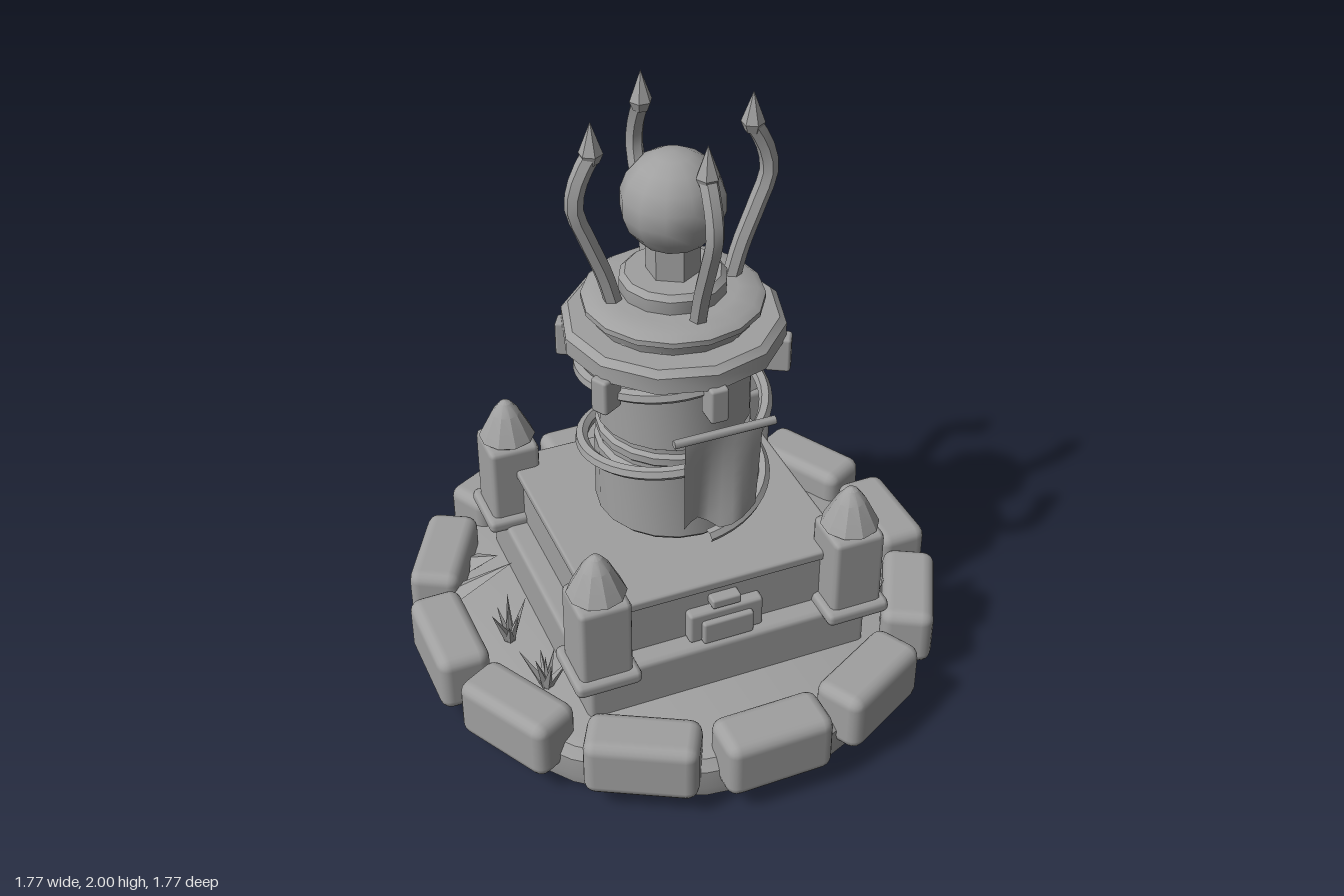
import * as THREE from 'three';
import { toCreasedNormals } from 'three/addons/utils/BufferGeometryUtils.js';
import { RoundedBoxGeometry } from 'three/addons/geometries/RoundedBoxGeometry.js';

export function createModel() {
  const model = new THREE.Group();
  const stone = new THREE.MeshStandardMaterial({ color: 0xa0a0a0 });
  stone.name = 'grey stone';
  const cloth = new THREE.MeshStandardMaterial({ color: 0xa0a0a0, side: THREE.DoubleSide });
  cloth.name = 'grey cloth';

  const add = (name, geo, x = 0, y = 0, z = 0, parent = model, mat = stone) => {
    const mesh = new THREE.Mesh(geo, mat);
    mesh.name = name;
    mesh.position.set(x, y, z);
    parent.add(mesh);
    return mesh;
  };
  const group = (name, parent = model) => {
    const g = new THREE.Group();
    g.name = name;
    parent.add(g);
    return g;
  };
  // Turned shape from [radius, y] pairs, bottom to top
  const turned = (pts, sides) => toCreasedNormals(
    new THREE.LatheGeometry(pts.map(([r, y]) => new THREE.Vector2(r, y)), sides), 0.55);
  // Box standing on y with softened edges
  const block = (w, h, d, r = 0.015) => new RoundedBoxGeometry(w, h, d, 1, r).translate(0, h / 2, 0);

  // Round base
  add('baseDisc', turned([[0, 0], [0.79, 0], [0.815, 0.02], [0.825, 0.06], [0.825, 0.13],
    [0.80, 0.165], [0.77, 0.175], [0, 0.175]], 24));

  // Ring of twelve boulders, slightly uneven
  const ring = group('stoneRing');
  const turns = [0.01, -0.03, 0.02, 0.015, -0.02, 0.03];
  for (let i = 0; i < 12; i++) {
    const a = i * Math.PI / 6, t = turns[i % 6];
    const s = add('ringStone', new RoundedBoxGeometry(0.36, 0.21, 0.175, 2, 0.04),
      Math.sin(a + t / 2) * 0.795, 0.175, Math.cos(a + t / 2) * 0.795, ring);
    s.rotation.y = a + t;
  }

  // Square plinth in two steps with a thin cap
  add('lowerPlinth', block(0.965, 0.2, 0.965, 0.02), 0, 0.14, 0);
  add('upperPlinth', block(0.82, 0.21, 0.82, 0.01), 0, 0.32, 0);
  add('plinthCap', block(0.86, 0.035, 0.86, 0.01), 0, 0.518, 0);

  // Plaque on the front step
  const plaque = group('plaque');
  add('plaqueFrame', block(0.255, 0.115, 0.05, 0.012), 0, 0.335, 0.425, plaque);
  add('plaquePanel', block(0.175, 0.085, 0.05, 0.01), 0, 0.335, 0.445, plaque);
  add('plaqueCrest', block(0.1, 0.035, 0.05, 0.008), 0, 0.455, 0.425, plaque);

  // Corner posts with pointed roofs
  for (const x of [-0.43, 0.43]) for (const z of [-0.43, 0.43]) {
    const post = group('cornerPost');
    post.position.set(x, 0, z);
    add('postFoot', block(0.22, 0.05, 0.22, 0.02), 0, 0.32, 0, post);
    add('postShaft', block(0.175, 0.3, 0.175, 0.02), 0, 0.34, 0, post);
    add('postRoof', turned([[0, 0.64], [0.08, 0.64], [0.095, 0.652], [0.048, 0.745],
      [0.02, 0.782], [0, 0.79]], 10), 0, 0, 0, post);
  }

  // Tower shaft with a grooved waist
  add('towerShaft', turned([[0, 0.588], [0.24, 0.588], [0.255, 0.605], [0.255, 0.845], [0.24, 0.86],
    [0.24, 0.875], [0.25, 0.885], [0.25, 0.91], [0.235, 0.92], [0.235, 0.935], [0.248, 0.945],
    [0.248, 1.18], [0.235, 1.2], [0.235, 1.24], [0, 1.24]], 20));

  // Spiral band climbing the shaft
  const spiral = [];
  for (let i = 0; i <= 64; i++) {
    const a = i / 64 * Math.PI * 4;
    spiral.push(new THREE.Vector3(Math.sin(a) * 0.295, 0.625 + 0.29 * a / (Math.PI * 2), Math.cos(a) * 0.295));
  }
  add('spiralBand', toCreasedNormals(new THREE.TubeGeometry(
    new THREE.CatmullRomCurve3(spiral), 96, 0.022, 6), 0.6));

  // Collar, crown flange and orb stand
  add('collar', turned([[0, 1.215], [0.33, 1.215], [0.352, 1.23], [0.352, 1.285], [0.33, 1.305],
    [0.25, 1.305], [0.25, 1.31], [0, 1.31]], 12));
  add('crownFlange', turned([[0, 1.3], [0.25, 1.3], [0.262, 1.335], [0.285, 1.35], [0.285, 1.368],
    [0.262, 1.385], [0.2, 1.392], [0, 1.392]], 16));
  add('orbStand', turned([[0, 1.38], [0.165, 1.38], [0.168, 1.395], [0.168, 1.435], [0.15, 1.452],
    [0, 1.452]], 14));
  add('orbPillar', turned([[0, 1.44], [0.085, 1.44], [0.085, 1.57], [0, 1.57]], 6));
  add('orb', new THREE.SphereGeometry(0.163, 12, 9), 0, 1.692, 0);

  // Brackets below the collar
  for (let i = 0; i < 6; i++) {
    const a = i * Math.PI / 3;
    add('bracket', block(0.06, 0.12, 0.08, 0.01), Math.sin(a) * 0.33, 1.12, Math.cos(a) * 0.33).rotation.y = a;
  }

  // Four curved prongs with spear tips around the orb
  const prongPath = new THREE.CatmullRomCurve3([[0.195, 1.38], [0.225, 1.49], [0.275, 1.62], [0.312, 1.73],
    [0.295, 1.82], [0.255, 1.895]].map(([x, y]) => new THREE.Vector3(x, y, 0)));
  for (let i = 0; i < 4; i++) {
    const prong = group('prong');
    prong.rotation.y = i * Math.PI / 2;
    add('prongStem', toCreasedNormals(new THREE.TubeGeometry(prongPath, 12, 0.029, 6), 0.6), 0, 0, 0, prong);
    add('prongTip', turned([[0, 1.865], [0.025, 1.87], [0.037, 1.9], [0, 2]], 6), 0.255, 0, 0, prong);
  }

  // Hanging banners, front and back, rippling more toward the hem
  for (const turn of [0, Math.PI]) {
    const banner = group('banner');
    banner.rotation.y = turn;
    const rod = add('bannerRod', new THREE.CylinderGeometry(0.014, 0.014, 0.33, 6), 0, 1.112, 0.405, banner);
    rod.rotation.z = Math.PI / 2;
    const sheet = new THREE.PlaneGeometry(0.255, 0.34, 8, 6);
    const p = sheet.attributes.position;
    for (let i = 0; i < p.count; i++) {
      const x = p.getX(i), down = (0.17 - p.getY(i)) / 0.34;
      const hem = Math.max(0, 1 - Math.abs(x) / 0.07) * 0.045 * Math.pow(down, 4);
      p.setY(i, p.getY(i) - hem);
      p.setZ(i, Math.sin(x * 30) * 0.028 * down - 0.02 * down);
    }
    sheet.computeVertexNormals();
    add('bannerCloth', sheet, 0, 0.94, 0.4, banner, cloth);
  }

  // Grass tufts: fans of slim leaning spikes
  const tufts = [[-0.1, -0.65], [0.16, -0.64], [0.28, -0.54], [-0.6, 0.04], [-0.56, 0.29], [0.57, 0.34]];
  tufts.forEach(([x, z], k) => {
    const tuft = group('grassTuft');
    tuft.position.set(x, 0.17, z);
    tuft.rotation.y = k * 1.3;
    for (let i = 0; i < 7; i++) {
      const h = 0.13 + 0.04 * ((i * 3 + k) % 4) / 3;
      const spike = new THREE.ConeGeometry(0.018, h, 4).translate(0, h / 2, 0);
      spike.rotateX(i === 0 ? 0 : 0.3 + 0.12 * (i % 3)).rotateY(i * 1.05);
      add('grassBlade', spike.toNonIndexed(), 0, 0, 0, tuft).geometry.computeVertexNormals();
    }
  });

  // Broad leaves lying by the wall: [x, z, heading, length]
  for (const [x, z, heading, length] of [[-0.73, -0.22, 1.4, 0.25], [-0.6, -0.36, 1.0, 0.1],
    [0.22, -0.5, 2.7, 0.2], [0.32, -0.6, 2.5, 0.16]]) {
    const leaf = new THREE.ConeGeometry(0.5, 1, 4).translate(0, 0.5, 0);
    leaf.scale(0.1, length, 0.05).rotateX(1.1).rotateY(heading);
    add('broadLeaf', leaf.toNonIndexed(), x, 0.19, z).geometry.computeVertexNormals();
  }

  return model;
}
